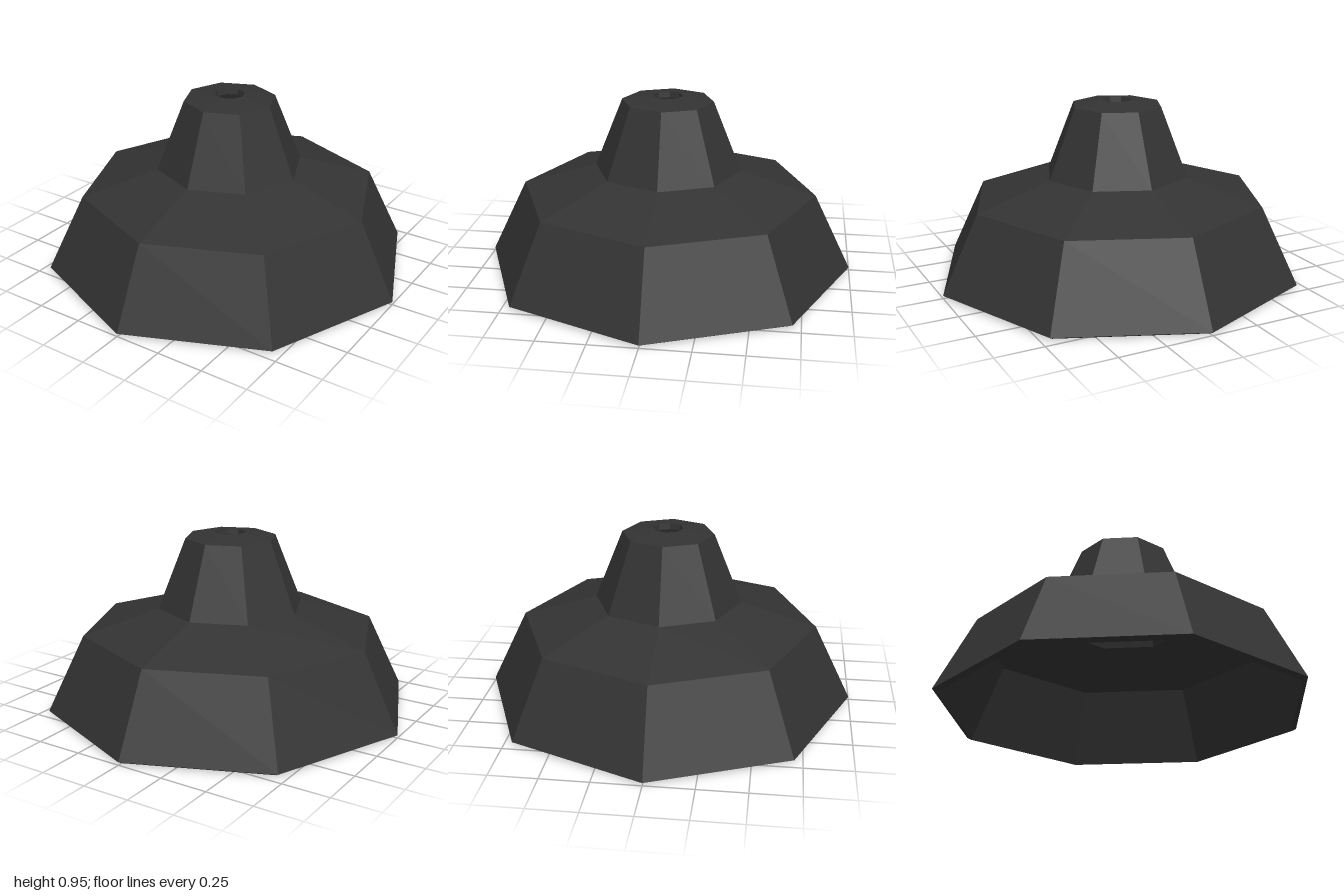
import * as THREE from 'three';

export function createModel() {
  const group = new THREE.Group();
  group.name = 'lampShade';

  // Thin-walled profile: up the outside, through the cord hole, down the inside
  const outer = [[1, 0.015], [0.8, 0.425], [0.395, 0.55], [0.245, 0.925], [0.08, 0.95]];
  const inner = [[0.075, 0.92], [0.225, 0.898], [0.373, 0.525], [0.778, 0.4], [0.973, 0]];
  const profile = [...outer, ...inner, outer[0]].map(([r, y]) => new THREE.Vector2(r, y));

  // Eight-sided faceted shell with corners on the axes
  const material = new THREE.MeshStandardMaterial({ color: 0x333333, flatShading: true });
  const shade = new THREE.Mesh(new THREE.LatheGeometry(profile, 8), material);
  shade.name = 'shade';
  group.add(shade);

  return group;
}
